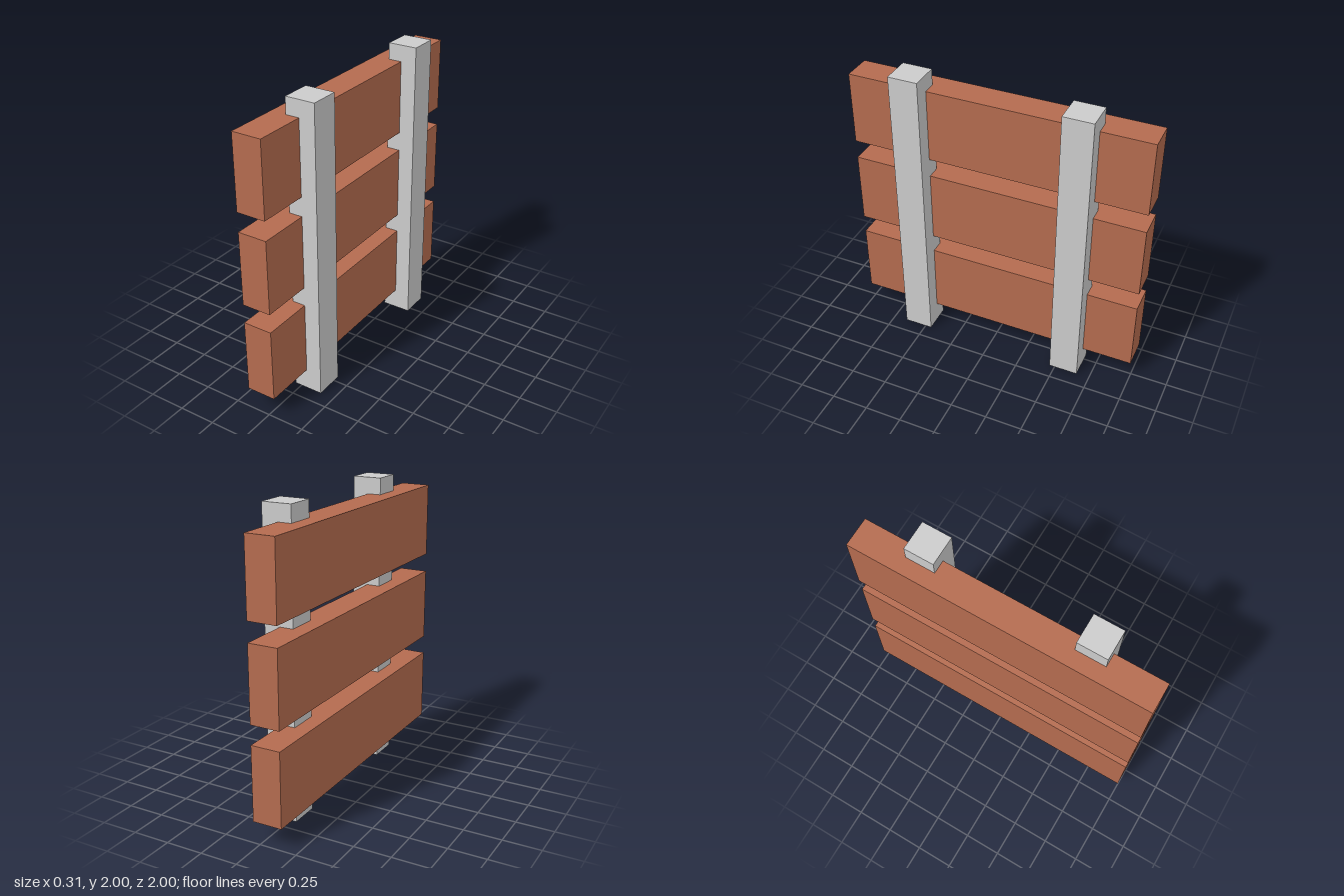
import * as THREE from 'three';

export function createModel() {
  const group = new THREE.Group();
  const postMaterial = new THREE.MeshStandardMaterial({ color: 0xcccccc, flatShading: true });
  const plankMaterial = new THREE.MeshStandardMaterial({ color: 0xb46b4f, flatShading: true });

  const addBox = (name, size, position, material) => {
    const mesh = new THREE.Mesh(new THREE.BoxGeometry(...size), material);
    mesh.name = name;
    mesh.position.set(...position);
    group.add(mesh);
  };

  // Three horizontal planks running along z
  ['lowerPlank', 'middlePlank', 'upperPlank'].forEach((name, i) =>
    addBox(name, [0.198, 0.497, 2], [-0.054, 0.391 + i * 0.625, 0], plankMaterial));

  // Two upright posts, half sunk into the planks
  addBox('frontPost', [0.198, 2, 0.198], [0.053, 1, 0.555], postMaterial);
  addBox('backPost', [0.198, 2, 0.198], [0.053, 1, -0.562], postMaterial);

  return group;
}
